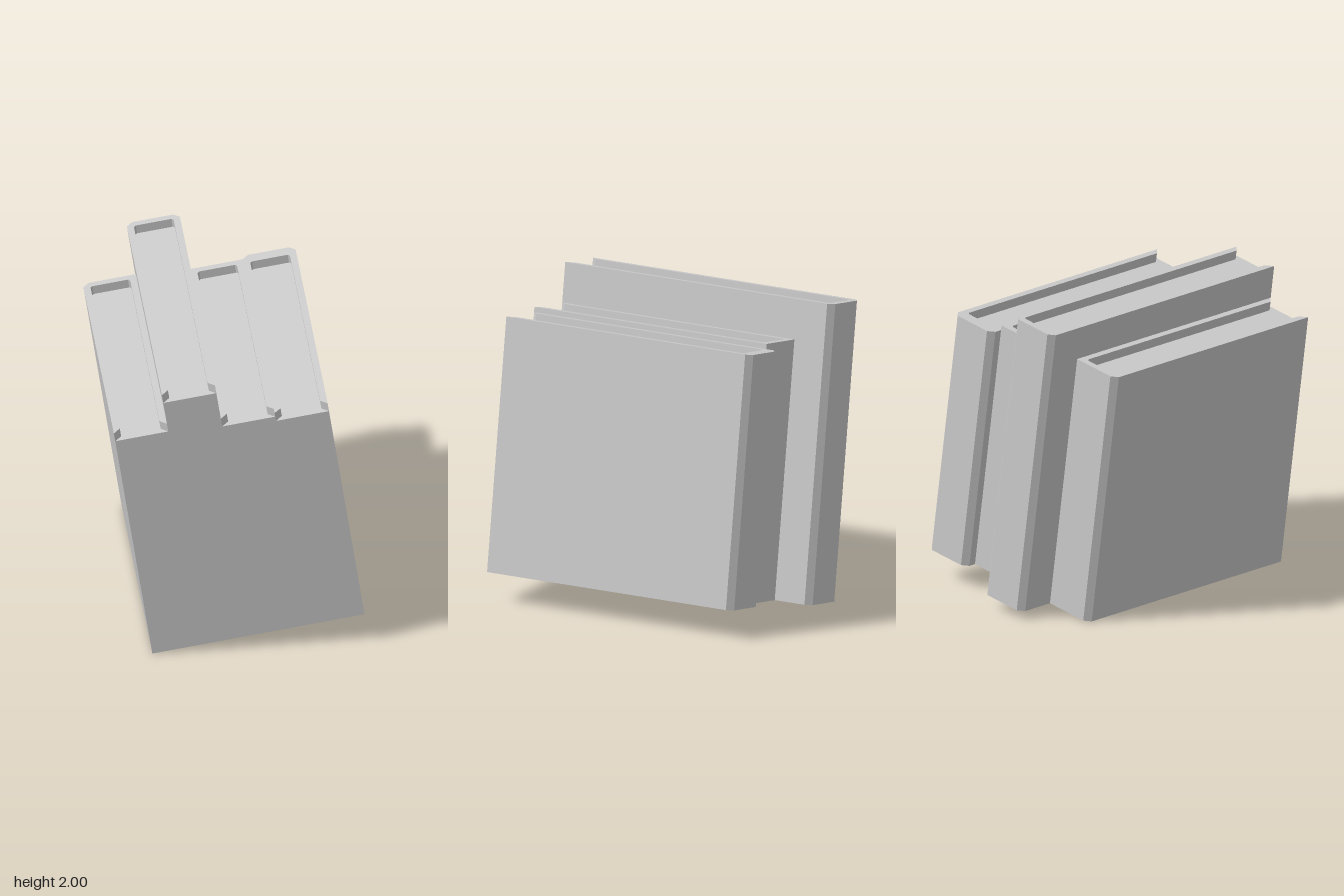
import * as THREE from 'three';

const FRONT = 0.985, WIDTH = 0.34, RIM = 0.043, LIP = 0.06, CHAMFER = 0.038;

// height, back depth, spine thickness, chamfer on left and right spine edge as seen from the front
const BOOKS = [
  { height: 1.702, back: 0.728, spine: 0.045, cutA: CHAMFER, cutB: 0 },
  { height: 1.922, back: 0.985, spine: 0.045, cutA: CHAMFER, cutB: CHAMFER },
  { height: 1.664, back: 0.728, spine: 0.045, cutA: 0, cutB: 0 },
  { height: 1.631, back: 0.815, spine: 0.08, cutA: CHAMFER, cutB: CHAMFER },
];

// Extrudes a plan outline (x, -z) upwards from y0 to y1
function slab(points, y0, y1, material, name) {
  const shape = new THREE.Shape(points.map(([x, y]) => new THREE.Vector2(x, y)));
  const geometry = new THREE.ExtrudeGeometry(shape, { depth: y1 - y0, bevelEnabled: false });
  geometry.rotateX(-Math.PI / 2).translate(0, y0, 0);
  const mesh = new THREE.Mesh(geometry, material);
  mesh.name = name;
  return mesh;
}

function makeBook({ height, back, spine, cutA, cutB }, material) {
  const book = new THREE.Group();
  // Outer spine edge, running from the +x side round to the -x side
  const outer = [[WIDTH, -FRONT]];
  if (cutB) outer.push([WIDTH, back - cutB], [WIDTH - cutB, back]);
  else outer.push([WIDTH, back]);
  if (cutA) outer.push([cutA, back], [0, back - cutA]);
  else outer.push([0, back]);
  outer.push([0, -FRONT]);

  // Inner edge of the cover lip, with mitred front tips
  const c = 0.013, b = back - spine;
  const inner = [
    [RIM, -FRONT + RIM], [RIM, b - c], [RIM + c, b],
    [WIDTH - RIM - c, b], [WIDTH - RIM, b - c], [WIDTH - RIM, -FRONT + RIM],
  ];

  book.add(slab(outer, 0, height - LIP, material, 'bookBody'));
  book.add(slab([...outer, ...inner], height - LIP, height, material, 'coverLip'));
  return book;
}

export function createModel() {
  const model = new THREE.Group();
  model.name = 'leaningBooks';
  const material = new THREE.MeshStandardMaterial({ color: 0xcccccc, flatShading: true });

  // The whole row leans to one side on its lower corner
  const row = new THREE.Group();
  row.name = 'bookRow';
  row.position.x = -0.552;
  row.rotation.z = THREE.MathUtils.degToRad(8.25);
  BOOKS.forEach((spec, i) => {
    const book = makeBook(spec, material);
    book.name = `book${i + 1}`;
    book.position.x = i * WIDTH;
    row.add(book);
  });
  model.add(row);
  return model;
}
